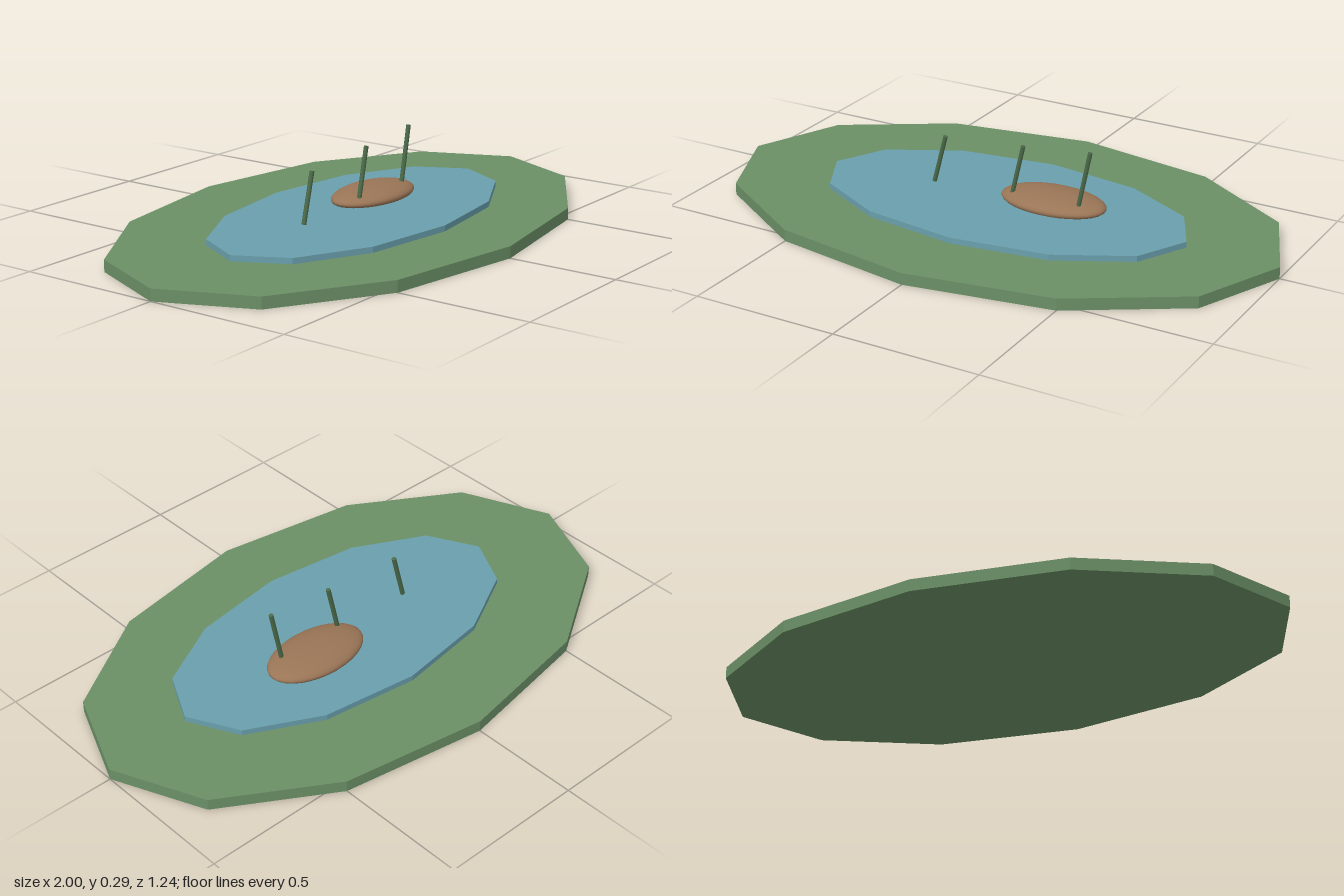
import * as THREE from 'three';

const mat = (color, flatShading = false) => new THREE.MeshStandardMaterial({ color, flatShading });

function add(group, name, geometry, material) {
  const mesh = new THREE.Mesh(geometry, material);
  mesh.name = name;
  group.add(mesh);
  return mesh;
}

// Twelve-sided oval slab between two heights
function slab(rx, rz, y0, y1) {
  return new THREE.CylinderGeometry(1, 1, y1 - y0, 12)
    .scale(rx, 1, rz)
    .translate(0, (y0 + y1) / 2, 0);
}

export function createModel() {
  const model = new THREE.Group();
  model.name = 'pond';

  // Grassy bank and the raised water on it
  add(model, 'bank', slab(1, 0.622, 0, 0.04), mat(0x6b8f66, true));
  add(model, 'water', slab(0.668, 0.347, 0.02, 0.06), mat(0x699fac, true))
    .position.set(0.018, 0, 0.015);

  // Smooth flattened mud mound
  add(model, 'mound', new THREE.SphereGeometry(1, 32, 20).scale(0.189, 0.035, 0.11), mat(0x9a7556))
    .position.set(0.177, 0.07, -0.04);

  // Reeds, each a little taller than the last, all leaning towards +x
  const reedMat = mat(0x4c6b4a);
  const up = new THREE.Vector3(0, 1, 0);
  [[-0.26, 0.235], [0.038, 0.26], [0.285, 0.286]].forEach(([x, top], i) => {
    const foot = new THREE.Vector3(x, 0.065, 0);
    const lean = new THREE.Vector3(x + 0.045, top, 0).sub(foot);
    const reed = add(model, `reed${i + 1}`, new THREE.CylinderGeometry(0.008, 0.008, lean.length(), 8), reedMat);
    reed.position.copy(foot).addScaledVector(lean, 0.5);
    reed.quaternion.setFromUnitVectors(up, lean.clone().normalize());
  });

  return model;
}
